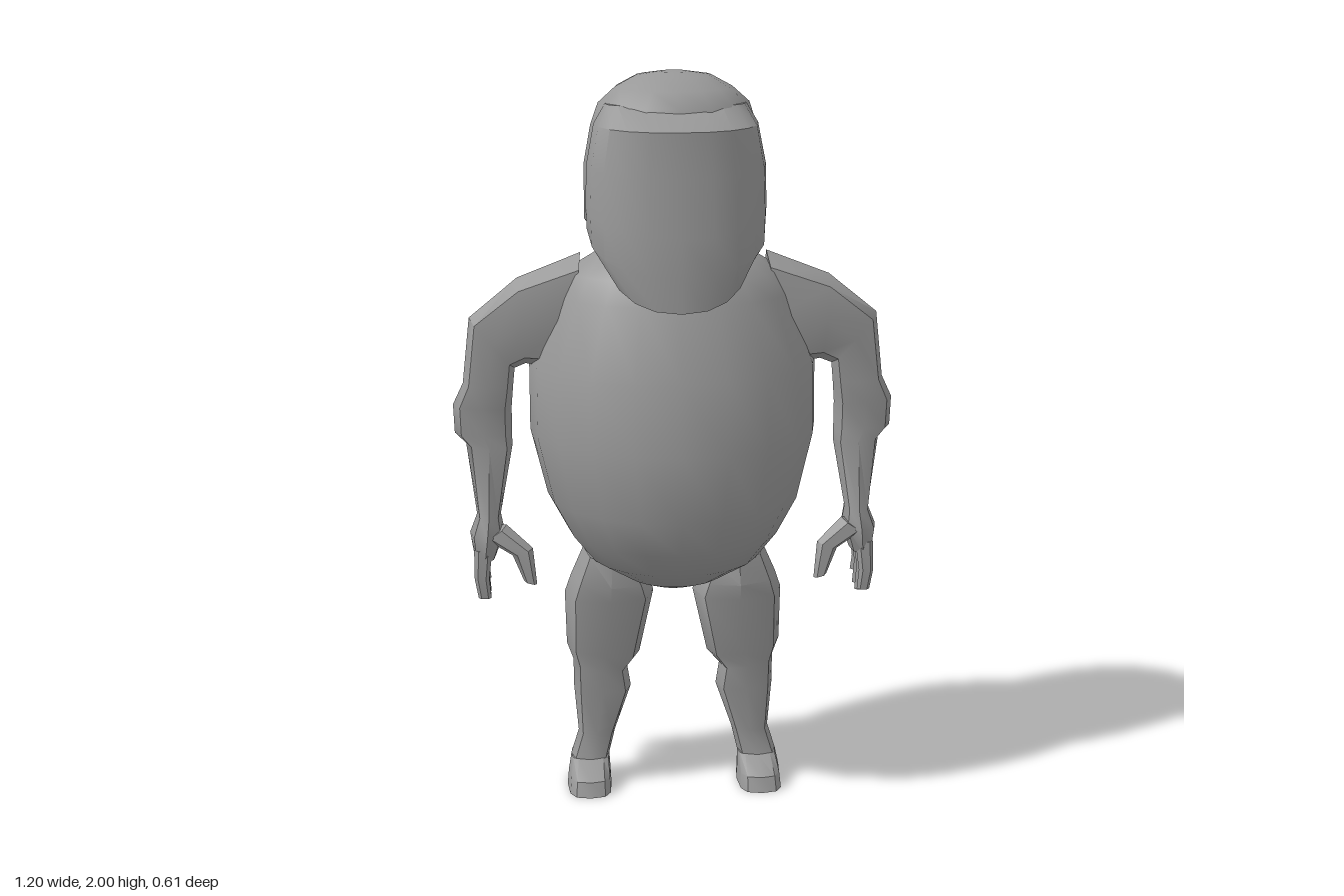
import * as THREE from 'three';
import { toCreasedNormals } from 'three/addons/utils/BufferGeometryUtils.js';

const grey = new THREE.MeshStandardMaterial({ color: 0x999999 });
grey.name = 'clay grey';

// Lofts closed rings. Section: [outerX, outerY, innerX, innerY, frontZ, backZ, midZ?]
// power/backPower: roundness of the front/back half (2 = ellipse, more = boxier).
function loft(name, sections, { n = 8, power = 2.6, backPower = power, crease = 0.7, shape } = {}) {
  const pos = [], index = [];
  const bend = (c, p) => Math.sign(c) * Math.abs(c) ** (2 / p);
  const add = (x, y, z, i) => pos.push(x, y - (shape ? shape(z, i) : 0), z);
  sections.forEach(([ox, oy, ix, iy, zf, zb, zm = (zf + zb) / 2], i) => {
    for (let j = 0; j < n; j++) {
      const a = (j / n) * Math.PI * 2;
      const s = Math.abs(Math.sin(a)) < 1e-6 ? 0 : Math.sin(a);
      const c = Math.abs(Math.cos(a)) < 1e-6 ? 0 : Math.cos(a);
      const p = s < 0 ? backPower : power;
      const k = bend(c, p), m = bend(s, p);
      add((ox + ix) / 2 + k * (ox - ix) / 2, (oy + iy) / 2 + k * (oy - iy) / 2,
        zm + (m > 0 ? m * (zf - zm) : m * (zm - zb)), i);
    }
  });
  const rows = sections.length;
  for (let i = 0; i < rows - 1; i++) {
    for (let j = 0; j < n; j++) {
      const a = i * n + j, b = i * n + (j + 1) % n;
      index.push(a, b, a + n, b, b + n, a + n);
    }
  }
  // end caps
  for (const i of [0, rows - 1]) {
    const [ox, oy, ix, iy, zf, zb, zm = (zf + zb) / 2] = sections[i];
    const centre = pos.length / 3;
    add((ox + ix) / 2, (oy + iy) / 2, zm, i);
    for (let j = 0; j < n; j++) {
      const a = i * n + j, b = i * n + (j + 1) % n;
      if (i === 0) index.push(centre, b, a);
      else index.push(centre, a, b);
    }
  }
  const g = new THREE.BufferGeometry();
  g.setAttribute('position', new THREE.Float32BufferAttribute(pos, 3));
  g.setIndex(index);
  const mesh = new THREE.Mesh(toCreasedNormals(g, crease), grey);
  mesh.name = name;
  return mesh;
}

// Level, symmetric sections from [y, halfWidth, frontZ, backZ, midZ]
const level = rows => rows.map(([y, r, zf, zb, zm]) => [r, y, -r, y, zf, zb, zm]);

// Mirrors sections to the other side, keeping the ring direction
const sided = (rows, side) => side > 0 ? rows
  : rows.map(([ox, oy, ix, iy, ...z]) => [-ix, iy, -ox, oy, ...z]);

export function createModel() {
  const model = new THREE.Group();
  model.name = 'figure';

  // Big rounded belly with a narrower, ridged back
  model.add(loft('torso', level([
    [1.55, 0.12, 0.07, -0.09, -0.02],
    [1.52, 0.21, 0.13, -0.12, -0.03],
    [1.47, 0.29, 0.17, -0.21, -0.04],
    [1.41, 0.32, 0.20, -0.255, -0.04],
    [1.22, 0.39, 0.27, -0.305, -0.05],
    [1.03, 0.39, 0.305, -0.28, -0.04],
    [0.85, 0.345, 0.305, -0.245, -0.03],
    [0.75, 0.29, 0.265, -0.205, -0.02],
    [0.68, 0.23, 0.22, -0.18, 0],
    [0.62, 0.13, 0.13, -0.15, 0],
    [0.59, 0.07, 0.05, -0.09, -0.02],
  ]), { n: 20, power: 2.05, backPower: 1.65, crease: 0.9 }));

  // Skull
  model.add(loft('skull', level([
    [2.0, 0.035, 0.03, -0.04],
    [1.99, 0.1, 0.07, -0.09],
    [1.96, 0.155, 0.125, -0.145],
    [1.92, 0.2, 0.17, -0.18],
    [1.86, 0.22, 0.18, -0.21],
    [1.76, 0.238, 0.18, -0.213],
    [1.61, 0.238, 0.16, -0.213],
    [1.56, 0.2, 0.13, -0.18],
    [1.525, 0.14, 0.09, -0.13],
  ]), { n: 16, power: 2.2, crease: 0.9 }));

  // Face shield tapering to a pointed chin
  const chinDrop = [0, 0.005, 0.02, 0.06, 0.1, 0.135];
  model.add(loft('face', level([
    [1.925, 0.185, 0.145, -0.02, 0.06],
    [1.875, 0.215, 0.24, -0.02, 0.07],
    [1.77, 0.235, 0.25, -0.02, 0.08],
    [1.66, 0.238, 0.268, -0.02, 0.08],
    [1.6, 0.235, 0.277, -0.02, 0.08],
    [1.545, 0.19, 0.28, -0.02, 0.08],
  ]), {
    n: 20, power: 2.25, crease: 0.6,
    shape: (z, i) => chinDrop[i] * Math.max(0, (z - 0.08) / 0.2),
  }));

  for (const side of [1, -1]) {
    const label = side > 0 ? 'left' : 'right';
    const limb = (name, rows, options) => model.add(loft(label + name, sided(rows, side), options));

    // Arm from shoulder to palm, with a bulging elbow
    limb('Arm', [
      [0.25, 1.52, 0.30, 1.20, 0.06, -0.10],
      [0.42, 1.455, 0.40, 1.22, 0.06, -0.085],
      [0.55, 1.35, 0.43, 1.21, 0.045, -0.05],
      [0.57, 1.17, 0.435, 1.16, 0.05, -0.06],
      [0.598, 1.11, 0.44, 1.10, 0.045, -0.065],
      [0.595, 1.03, 0.44, 1.03, 0.04, -0.065],
      [0.565, 1.0, 0.44, 0.99, 0.045, -0.07],
      [0.54, 0.80, 0.475, 0.80, 0.055, -0.075],
      [0.56, 0.75, 0.465, 0.75, 0.075, -0.08],
      [0.55, 0.68, 0.49, 0.68, 0.055, -0.08],
    ]);

    // Four fingers fanned along z
    for (let f = 0; f < 4; f++) {
      const z = 0.04 - f * 0.036, tip = 0.05 - f * 0.043;
      const end = [0.575, 0.56, 0.565, 0.59][f];
      limb('Finger' + (f + 1), [
        [0.55, 0.71, 0.50, 0.71, z + 0.018, z - 0.018],
        [0.55, 0.63, 0.51, 0.63, tip + 0.015, tip - 0.015],
        [0.54, end, 0.505, end, tip + 0.011, tip - 0.011],
      ], { n: 6, power: 2.2 });
    }

    // Thumb, angled inward and forward
    limb('Thumb', [
      [0.52, 0.74, 0.46, 0.78, 0.07, 0.0],
      [0.445, 0.70, 0.39, 0.72, 0.085, 0.04],
      [0.415, 0.63, 0.38, 0.62, 0.09, 0.06],
    ], { n: 6, power: 2.2 });

    // Leg with thigh, knee and calf
    limb('Leg', [
      [0.25, 0.69, 0.10, 0.65, 0.08, -0.15],
      [0.285, 0.61, 0.07, 0.60, 0.09, -0.155],
      [0.302, 0.56, 0.055, 0.56, 0.08, -0.15],
      [0.298, 0.41, 0.095, 0.38, 0.06, -0.12],
      [0.28, 0.36, 0.13, 0.34, 0.05, -0.11],
      [0.28, 0.29, 0.12, 0.28, 0.05, -0.10],
      [0.268, 0.15, 0.165, 0.15, 0.025, -0.075],
      [0.29, 0.08, 0.182, 0.08, 0.035, -0.08],
    ], { n: 8, power: 2.8 });

    // Foot with a low rounded toe
    limb('Foot', [
      [0.29, 0.08, 0.182, 0.08, 0.035, -0.08, -0.02],
      [0.298, 0.04, 0.18, 0.04, 0.105, -0.08, 0],
      [0.302, 0, 0.178, 0, 0.12, -0.08, 0.01],
    ], { n: 12, power: 3.2, crease: 0.6 });
  }

  return model;
}
